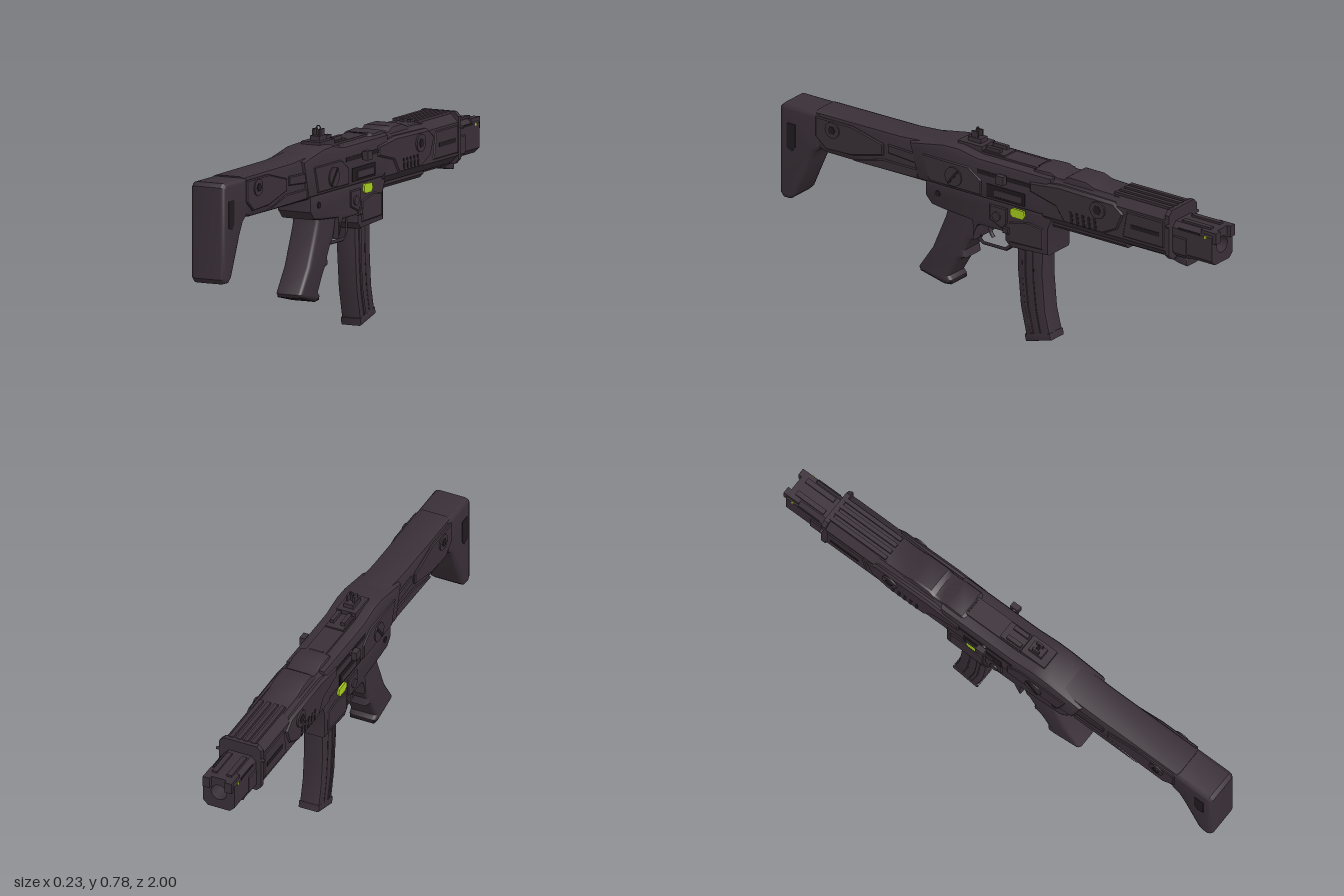
import * as THREE from 'three';
import { toCreasedNormals } from 'three/addons/utils/BufferGeometryUtils.js';

const body = new THREE.MeshStandardMaterial({ color: 0x3a3038 });
body.name = 'charcoal body';
const dark = new THREE.MeshStandardMaterial({ color: 0x211b20 });
dark.name = 'dark recess';
const green = new THREE.MeshStandardMaterial({ color: 0xa9cf1e });
green.name = 'lime mark';

export function createModel() {
  const root = new THREE.Group();
  root.name = 'propRifle';

  const add = (name, geo, mat = body) => {
    const m = new THREE.Mesh(geo, mat);
    m.name = name;
    root.add(m);
    return m;
  };

  const shapeOf = (pts) => new THREE.Shape(pts.map(([a, b]) => new THREE.Vector2(a, b)));

  // Side outline in (z, y), extruded across x from x0 to x1 with bevelled edges
  const slab = (name, pts, x0, x1, bevel = 0, mat = body, segs = 2, holes = []) => {
    const shape = shapeOf(pts);
    holes.forEach((h) => shape.holes.push(shapeOf(h)));
    let geo = new THREE.ExtrudeGeometry(shape, {
      depth: x1 - x0 - 2 * bevel, bevelEnabled: bevel > 0, bevelThickness: bevel,
      bevelSize: bevel, bevelOffset: -bevel, bevelSegments: segs,
    });
    geo.translate(0, 0, -(x1 - x0) / 2 + bevel);
    geo.rotateY(-Math.PI / 2);
    geo.translate((x0 + x1) / 2, 0, 0);
    return add(name, toCreasedNormals(geo, 0.6), mat);
  };
  const wide = (name, pts, half, bevel, mat, segs, holes) => slab(name, pts, -half, half, bevel, mat, segs, holes);

  // Raised plate repeated on both sides, from inside the body out to x
  const plates = (name, pts, x, mat = body, thick = 0.02, bevel = 0.004) => {
    slab(name + 'Left', pts, x - thick, x, bevel, mat, 1);
    slab(name + 'Right', pts, -x, -x + thick, bevel, mat, 1);
  };
  const rect = (z0, z1, y0, y1) => [[z0, y0], [z1, y0], [z1, y1], [z0, y1]];

  const box = (name, x0, x1, y0, y1, z0, z1, mat = body) => {
    const g = new THREE.BoxGeometry(x1 - x0, y1 - y0, z1 - z0);
    g.translate((x0 + x1) / 2, (y0 + y1) / 2, (z0 + z1) / 2);
    return add(name, g, mat);
  };

  // Pin through the body along x
  const pin = (name, z, y, r, half, mat = body, sides = 20) => {
    const g = new THREE.CylinderGeometry(r, r, half * 2, sides);
    g.rotateZ(Math.PI / 2);
    g.translate(0, y, z);
    return add(name, g, mat);
  };

  // Cross-section in (x, y), extruded along z
  const bar = (name, pts, z0, z1, mat = body, bore = 0) => {
    const shape = shapeOf(pts);
    if (bore) shape.holes.push(new THREE.Path().absarc(0, 0.6, bore, 0, Math.PI * 2, true));
    const g = new THREE.ExtrudeGeometry(shape, { depth: z1 - z0, bevelEnabled: false, curveSegments: 16 });
    g.translate(0, 0, z0);
    return add(name, g, mat);
  };
  const octagon = (w, y0, y1, c) => [
    [-w + c, y0], [w - c, y0], [w, y0 + c], [w, y1 - c], [w - c, y1], [-w + c, y1], [-w, y1 - c], [-w, y0 + c]];

  // Stock
  wide('buttPad', [[1, 0.675], [1, 0.33], [0.985, 0.312], [0.955, 0.312], [0.935, 0.33], [0.87, 0.48],
    [0.845, 0.525], [0.81, 0.55], [0.81, 0.69], [0.985, 0.69]], 0.071, 0.018, body, 3);
  wide('stockBody', [[0.84, 0.695], [0.84, 0.55], [0.78, 0.537], [0.28, 0.535], [0.28, 0.71], [0.45, 0.697]], 0.069, 0.02);
  plates('stockCheek', [[0.83, 0.68], [0.83, 0.6], [0.78, 0.56], [0.66, 0.565], [0.52, 0.6], [0.52, 0.645], [0.66, 0.68]], 0.077);
  plates('stockLowerStrip', [[0.66, 0.545], [0.36, 0.545], [0.36, 0.585], [0.52, 0.585]], 0.074);
  plates('stockUpperStrip', [[0.5, 0.615], [0.36, 0.605], [0.36, 0.645], [0.5, 0.65]], 0.075);
  plates('buttRecess', [[0.965, 0.62], [0.965, 0.52], [0.94, 0.51], [0.925, 0.53], [0.925, 0.62]], 0.073, dark, 0.008, 0);
  pin('stockHinge', 0.75, 0.645, 0.032, 0.082);
  pin('stockHingeScrew', 0.75, 0.645, 0.016, 0.085, dark, 6);

  // Upper receiver
  wide('upperReceiver', [[0.4, 0.69], [0.36, 0.545], [-0.26, 0.545], [-0.26, 0.706], [0.08, 0.706], [0.17, 0.722], [0.24, 0.72]], 0.084, 0.022);
  plates('receiverRearPlate', [[0.33, 0.66], [0.3, 0.56], [0.06, 0.56], [0.06, 0.62], [0.12, 0.66]], 0.088);
  plates('ejectionPort', rect(-0.14, 0.035, 0.565, 0.615), 0.087, dark, 0.008, 0);
  plates('boltCover', rect(-0.13, 0.0, 0.572, 0.602), 0.09, body, 0.01, 0.002);
  plates('handleSlot', rect(-0.2, 0.08, 0.645, 0.662), 0.0855, dark, 0.006, 0);
  pin('takedownDisc', 0.185, 0.605, 0.038, 0.093);
  plates('takedownGroove', [[0.205, 0.572], [0.212, 0.58], [0.165, 0.638], [0.158, 0.63]], 0.0955, dark, 0.006, 0);
  pin('chargingHandleShaft', -0.045, 0.656, 0.01, 0.1, body, 12);
  for (const s of [-1, 1]) {
    const x = s * 0.106;
    box('chargingKnob', x - 0.011, x + 0.011, 0.639, 0.673, -0.063, -0.027);
  }

  // Top cover and sights
  box('topCover', -0.04, 0.04, 0.69, 0.714, -0.25, 0.2);
  box('topCoverInset', -0.028, 0.028, 0.712, 0.717, -0.21, -0.16, dark);
  box('sightBase', -0.04, 0.04, 0.71, 0.732, 0.09, 0.2);
  box('sightBlock', -0.02, 0.02, 0.73, 0.75, 0.11, 0.17);
  for (const s of [-1, 1]) box('sightEar', s * 0.014 - 0.004, s * 0.014 + 0.004, 0.745, 0.774, 0.125, 0.155);
  box('sightPost', -0.004, 0.004, 0.745, 0.77, 0.136, 0.146);
  const ring = new THREE.TorusGeometry(0.0085, 0.0025, 8, 6);
  ring.translate(0, 0.777, 0.14);
  add('sightRing', ring);
  box('sightFoot', -0.036, 0.036, 0.705, 0.72, -0.01, 0.085);
  for (const s of [-1, 1]) box('sightFootRail', s * 0.022 - 0.008, s * 0.022 + 0.008, 0.715, 0.734, 0.015, 0.08);

  // Handguard
  bar('handguard', octagon(0.084, 0.52, 0.704, 0.03), -0.8, -0.22);
  wide('handguardHump', [[-0.15, 0.7], [-0.17, 0.717], [-0.24, 0.72], [-0.27, 0.708], [-0.3, 0.708], [-0.32, 0.722],
    [-0.4, 0.722], [-0.44, 0.708], [-0.56, 0.704], [-0.56, 0.64], [-0.15, 0.64]], 0.062, 0.012);
  plates('handguardArmor', [[-0.16, 0.675], [-0.16, 0.63], [-0.28, 0.6], [-0.32, 0.545], [-0.5, 0.545], [-0.57, 0.58],
    [-0.6, 0.65], [-0.55, 0.685], [-0.3, 0.69]], 0.09, body, 0.03, 0.01);
  for (let i = 0; i < 5; i++) {
    const z = -0.355 - i * 0.027;
    plates('ventSlot' + i, [[z, 0.555], [z - 0.012, 0.555], [z - 0.006, 0.6], [z + 0.006, 0.6]], 0.0915, dark, 0.006, 0);
  }
  pin('armorBoss', -0.48, 0.64, 0.034, 0.097);
  pin('armorBossCap', -0.48, 0.64, 0.018, 0.099, dark, 6);
  plates('frontSidePlate', [[-0.61, 0.665], [-0.59, 0.56], [-0.78, 0.56], [-0.78, 0.665]], 0.088);
  plates('frontSideGroove', rect(-0.76, -0.63, 0.602, 0.618), 0.09, dark, 0.006, 0);
  for (const x of [-0.045, -0.015, 0.015, 0.045]) box('topRib', x - 0.008, x + 0.008, 0.69, 0.714, -0.79, -0.53);
  bar('frontCollar', octagon(0.086, 0.516, 0.712, 0.018), -0.805, -0.785);
  pin('collarPin', -0.8, 0.655, 0.006, 0.099, body, 8);

  // Underside rail
  bar('lowerRail', octagon(0.05, 0.493, 0.56, 0.015), -0.58, -0.22);
  bar('lowerRailFront', octagon(0.045, 0.508, 0.56, 0.01), -0.8, -0.57);
  wide('frontCatch', [[-0.775, 0.535], [-0.775, 0.5], [-0.81, 0.49], [-0.848, 0.486], [-0.848, 0.51], [-0.83, 0.535]], 0.035, 0.005);

  // Muzzle shroud with open bore
  bar('muzzleShroud', octagon(0.065, 0.53, 0.664, 0.02), -0.985, -0.79, body, 0.032);
  bar('muzzleBand', octagon(0.069, 0.526, 0.63, 0.02), -0.87, -0.81);
  const bore = new THREE.CircleGeometry(0.033, 16);
  bore.rotateY(Math.PI);
  bore.translate(0, 0.6, -0.9);
  add('boreBack', bore, dark);
  for (const s of [-1, 1]) {
    box('muzzleProng', s * 0.045 - 0.014, s * 0.045 + 0.014, 0.62, 0.664, -1, -0.93);
    box('muzzleRail', s * 0.03 - 0.01, s * 0.03 + 0.01, 0.655, 0.672, -0.96, -0.83);
  }
  plates('muzzleDot', rect(-0.96, -0.95, 0.636, 0.646), 0.0665, green, 0.005, 0);
  plates('muzzleSlot', rect(-0.93, -0.83, 0.64, 0.648), 0.0662, dark, 0.004, 0);

  // Lower receiver, magazine well and trigger guard in one outline
  wide('lowerReceiver', [[0.33, 0.55], [0.33, 0.49], [0.3, 0.458], [0.24, 0.45], [0.115, 0.44], [0.11, 0.36], [0.095, 0.42],
    [0.08, 0.43], [-0.035, 0.43], [-0.035, 0.4], [-0.06, 0.375], [-0.235, 0.385], [-0.235, 0.49], [-0.26, 0.55]], 0.072, 0.012);
  plates('magWellPlate', [[-0.06, 0.48], [-0.06, 0.4], [-0.215, 0.405], [-0.215, 0.49], [-0.15, 0.5]], 0.076);
  plates('selectorPlate', [[0.03, 0.53], [0.03, 0.47], [-0.03, 0.445], [-0.05, 0.47], [-0.05, 0.53]], 0.078);
  pin('selector', -0.005, 0.49, 0.018, 0.084);
  pin('receiverPinRear', 0.27, 0.51, 0.012, 0.075, dark, 12);
  plates('magazineCatch', rect(-0.06, -0.03, 0.43, 0.455), 0.08);
  plates('limeMark', [[-0.068, 0.515], [-0.08, 0.506], [-0.125, 0.506], [-0.135, 0.52], [-0.13, 0.54], [-0.08, 0.542], [-0.068, 0.535]],
    0.08, green, 0.009, 0);
  wide('triggerGuard', [[0.13, 0.44], [0.13, 0.35], [0.1, 0.333], [-0.01, 0.333], [-0.04, 0.36], [-0.04, 0.44]], 0.025, 0.003, body, 1,
    [[[0.108, 0.44 - 0.005], [0.108, 0.36], [0.092, 0.345], [-0.008, 0.345], [-0.028, 0.362], [-0.028, 0.435]]]);
  const triggerPath = new THREE.CatmullRomCurve3([[0.44, 0.075], [0.405, 0.082], [0.38, 0.078], [0.362, 0.066]]
    .map(([y, z]) => new THREE.Vector3(0, y, z)));
  add('trigger', new THREE.TubeGeometry(triggerPath, 10, 0.007, 8));

  // Pistol grip
  wide('grip', [[0.24, 0.46], [0.25, 0.42], [0.31, 0.28], [0.375, 0.185], [0.365, 0.172], [0.255, 0.146], [0.228, 0.15], [0.222, 0.165],
    [0.235, 0.18], [0.2, 0.24], [0.185, 0.26], [0.158, 0.27], [0.165, 0.3], [0.14, 0.345], [0.122, 0.36], [0.11, 0.4], [0.1, 0.45]],
    0.056, 0.016, body, 3);
  wide('gripCap', [[0.37, 0.186], [0.365, 0.17], [0.255, 0.144], [0.225, 0.148], [0.225, 0.16]], 0.05, 0.003, dark);

  // Curved magazine with ribs and base plate
  wide('magazine', [[-0.07, 0.42], [-0.072, 0.28], [-0.085, 0.14], [-0.115, 0.01], [-0.225, 0.04], [-0.2, 0.14], [-0.188, 0.28],
    [-0.19, 0.42]], 0.041, 0.01);
  plates('magazineRib', [[-0.095, 0.37], [-0.098, 0.26], [-0.11, 0.14], [-0.135, 0.04], [-0.15, 0.044], [-0.126, 0.14],
    [-0.114, 0.26], [-0.112, 0.37]], 0.044, body, 0.012, 0.002);
  plates('magazineGroove', [[-0.14, 0.37], [-0.143, 0.26], [-0.155, 0.14], [-0.175, 0.05], [-0.182, 0.052], [-0.163, 0.14],
    [-0.15, 0.26], [-0.147, 0.37]], 0.0415, dark, 0.003, 0);
  wide('magazineBase', [[-0.106, 0.03], [-0.112, 0.002], [-0.228, 0.034], [-0.222, 0.06]], 0.043, 0.006);

  return root;
}
